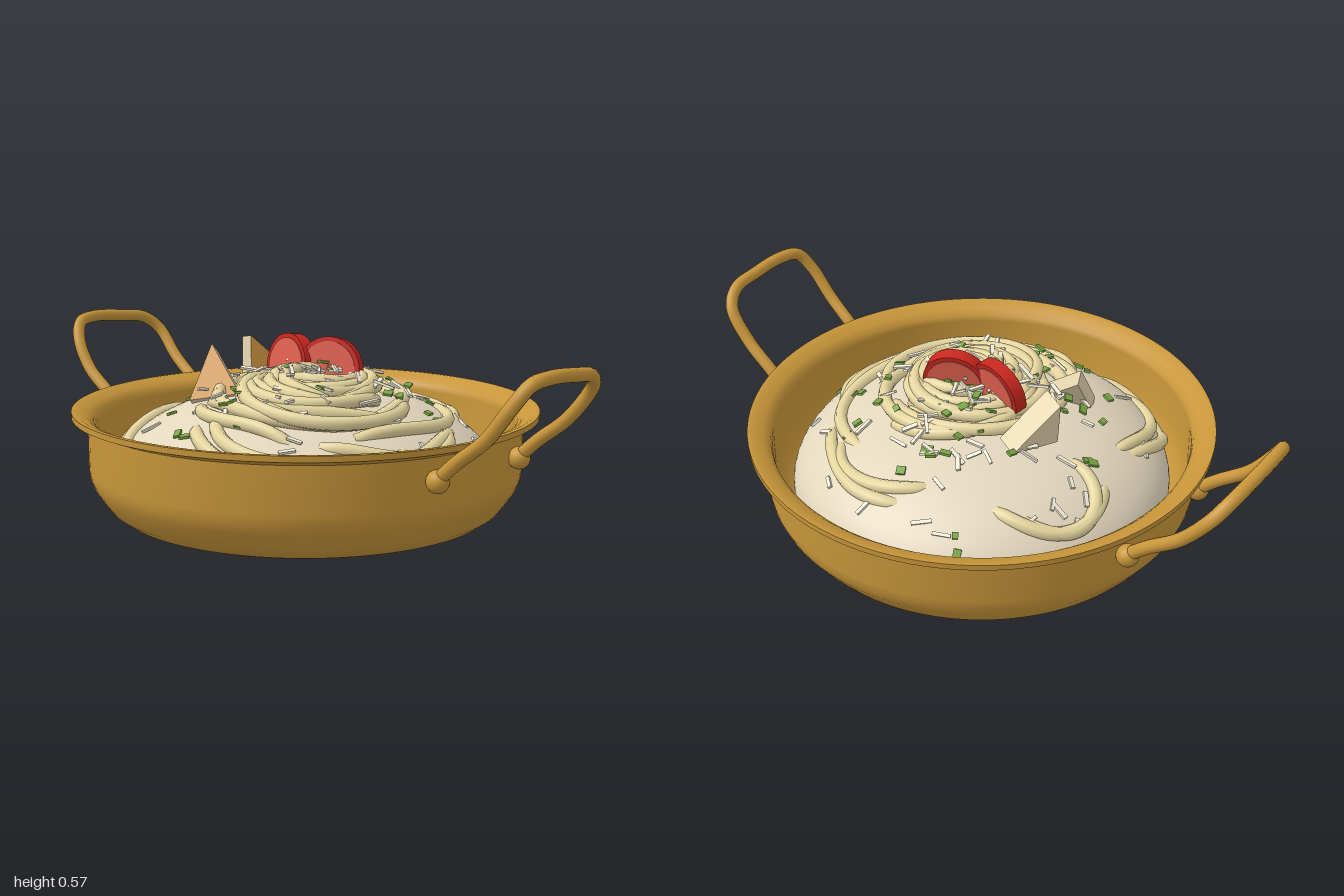
import * as THREE from 'three';

const V = (x, y, z) => new THREE.Vector3(x, y, z);
const mat = (color) => new THREE.MeshStandardMaterial({ color });
const brass = mat(0xc8963a), sauce = mat(0xe2d6bc), pasta = mat(0xe6d6a0), crumb = mat(0xe6d5b0),
  crust = mat(0xcf9440), skin = mat(0xc8261e), flesh = mat(0xe0604f), herb = mat(0x7ba646), cheese = mat(0xf3ecd9);

let seed = 7;
const rand = (a, b) => {
  seed = (seed * 16807) % 2147483647;
  return a + (b - a) * (seed / 2147483647);
};

const DOME_R = 0.62, DOME_Y = 0.12, DOME_H = 0.28;
const domeY = (x, z) => DOME_Y + DOME_H * Math.sqrt(Math.max(0, 1 - (x * x + z * z) / DOME_R ** 2));
const pileY = (x, z) => domeY(x, z) + 0.055 * Math.max(0, 1 - Math.hypot(x - 0.08, z - 0.04) / 0.42);

function add(parent, name, geometry, material) {
  const mesh = new THREE.Mesh(geometry, material);
  mesh.name = name;
  parent.add(mesh);
  return mesh;
}

function group(parent, name) {
  const g = new THREE.Group();
  g.name = name;
  parent.add(g);
  return g;
}

// Pan shell: outside, rim and inside in one lathe; doubled points keep the edges sharp
function addPan(root) {
  const p = [[0, 0], [0.575, 0], [0.575, 0], [0.61, 0.012], [0.64, 0.035], [0.66, 0.062], [0.685, 0.1], [0.696, 0.13],
    [0.7, 0.16], [0.7, 0.305], [0.7, 0.305], [0.75, 0.325], [0.75, 0.325], [0.75, 0.343], [0.75, 0.343],
    [0.735, 0.343], [0.7, 0.328], [0.68, 0.31], [0.675, 0.29], [0.675, 0.17], [0.655, 0.11], [0.62, 0.05], [0.56, 0.025], [0, 0.025]];
  add(root, 'pan', new THREE.LatheGeometry(p.map(([x, y]) => new THREE.Vector2(x, y)), 96), brass);
}

// Side handle: bent rod with a round rivet at each foot
function addHandle(root, side) {
  const g = group(root, side > 0 ? 'leftHandle' : 'rightHandle');
  const path = [[0.69, 0.24, 0.2], [0.76, 0.305, 0.2], [0.86, 0.385, 0.205], [0.93, 0.48, 0.195], [0.965, 0.54, 0.16],
    [0.975, 0.553, 0.09], [0.974, 0.545, -0.04], [0.967, 0.53, -0.14], [0.94, 0.485, -0.19], [0.86, 0.385, -0.2],
    [0.76, 0.305, -0.2], [0.69, 0.24, -0.2]].map(([x, y, z]) => V(x * side, y, z));
  add(g, 'handleRod', new THREE.TubeGeometry(new THREE.CatmullRomCurve3(path), 80, 0.021, 12), brass);
  for (const z of [0.2, -0.2])
    add(g, 'rivet', new THREE.SphereGeometry(0.035, 20, 14), brass).position.set(0.695 * side, 0.24, z);
}

// One noodle: an arc draped over the mound, its ends sinking into the sauce
function addNoodle(parent, cx, cz, r, start, sweep, lift) {
  const pts = [];
  for (let i = 0; i <= 14; i++) {
    const t = i / 14, a = THREE.MathUtils.degToRad(start + sweep * t);
    const rr = r * (1 + 0.06 * Math.sin(t * 5 + start));
    const x = cx + rr * Math.cos(a), z = cz + rr * Math.sin(a);
    const sink = 0.03 * Math.abs(2 * t - 1) ** 4;
    pts.push(V(x, pileY(x, z) + lift - sink, z));
  }
  add(parent, 'noodle', new THREE.TubeGeometry(new THREE.CatmullRomCurve3(pts), 40, 0.022, 8), pasta);
}

function addNoodles(root) {
  const g = group(root, 'noodles');
  // Loose outer strands: centre x, centre z, radius, start angle, sweep
  [[-0.4, -0.17, 0.13, 70, 210], [-0.3, -0.12, 0.22, 150, 120], [-0.18, 0.24, 0.3, 75, 120],
    [-0.2, 0.24, 0.25, 95, 110], [0.08, -0.28, 0.2, 210, 130], [0.1, -0.2, 0.29, 240, 100],
    [0.18, 0.2, 0.34, -20, 120], [0.2, 0.18, 0.28, 10, 130], [0.14, 0.05, 0.4, -40, 110],
    [0.1, 0.0, 0.36, -75, 110], [0.12, 0.3, 0.22, 20, 130], [0.05, 0.05, 0.3, 20, 120],
    [0.25, 0.05, 0.28, -50, 120], [0.1, 0.06, 0.34, 60, 80]].forEach((n) => addNoodle(g, ...n, 0.004));
  // Nest in the middle
  for (let i = 0; i < 22; i++) {
    const r = 0.08 + 0.2 * (i / 22);
    addNoodle(g, 0.09 + rand(-0.05, 0.05), 0.03 + rand(-0.05, 0.05), r, rand(0, 360), rand(130, 260), rand(0, 0.022));
  }
}

// Toast wedge: triangular prism below face a-b-c, with the browned face on top
function addToast(root, a, b, c, depth) {
  const g = group(root, 'toastWedge');
  const n = V(0, 0, 0).crossVectors(b.clone().sub(a), c.clone().sub(a)).normalize();
  const [d, e, f] = [a, b, c].map((p) => p.clone().addScaledVector(n, -depth));
  const faces = (list) => {
    const geo = new THREE.BufferGeometry().setFromPoints(list);
    geo.computeVertexNormals();
    return geo;
  };
  add(g, 'brownedFace', faces([a, b, c]), crust);
  add(g, 'crumb', faces([d, f, e, a, d, b, b, d, e, b, e, c, c, e, f, c, f, a, a, f, d]), crumb);
}

// Tomato slice: skin disc with a slightly raised flesh disc on both sides
function addTomato(root, x, y, z, yaw, lean) {
  const g = group(root, 'tomatoSlice');
  add(g, 'skin', new THREE.CylinderGeometry(0.105, 0.105, 0.044, 40), skin).rotation.x = Math.PI / 2;
  add(g, 'flesh', new THREE.CylinderGeometry(0.09, 0.09, 0.05, 40), flesh).rotation.x = Math.PI / 2;
  g.position.set(x, y, z);
  g.rotation.set(lean, yaw, 0, 'YXZ');
}

// Scattered flakes lying on the food
function addFlakes(root, name, count, size, material) {
  const g = group(root, name + 's');
  for (let i = 0; i < count; i++) {
    const r = i % 3 ? rand(0.04, 0.36) : rand(0.3, 0.58), a = rand(0, Math.PI * 2);
    const x = r * Math.cos(a) + (i % 3 ? 0.03 : 0), z = r * Math.sin(a);
    const m = add(g, name, new THREE.BoxGeometry(size[0] * rand(0.6, 1.2), size[1], size[2] * rand(0.8, 1.2)), material);
    m.position.set(x, pileY(x, z) + (r < 0.36 ? rand(0.015, 0.042) : 0.006), z);
    const tilt = r < 0.36 ? 0.4 : 0.15;
    // Follow the slope of the mound, then spin and tilt a little
    const up = V(x / DOME_R ** 2, (m.position.y - DOME_Y) / DOME_H ** 2, z / DOME_R ** 2).normalize();
    m.quaternion.setFromUnitVectors(V(0, 1, 0), up)
      .multiply(new THREE.Quaternion().setFromEuler(new THREE.Euler(rand(-tilt, tilt), rand(0, 6.28), rand(-tilt, tilt), 'YXZ')));
  }
}

export function createModel() {
  const root = new THREE.Group();
  root.name = 'pastaPan';
  addPan(root);
  addHandle(root, 1);
  addHandle(root, -1);

  // Mound of sauce
  const dome = add(root, 'sauceMound', new THREE.SphereGeometry(DOME_R, 72, 24, 0, Math.PI * 2, 0, Math.PI / 2), sauce);
  dome.scale.y = DOME_H / DOME_R;
  dome.position.y = DOME_Y;

  addNoodles(root);
  addToast(root, V(-0.26, 0.54, -0.01), V(-0.24, 0.39, 0.01), V(-0.18, 0.4, -0.14), 0.08);
  addToast(root, V(-0.27, 0.53, 0.16), V(-0.25, 0.36, 0.28), V(-0.1, 0.39, 0.2), 0.05);
  addTomato(root, -0.07, 0.46, -0.005, -0.18, -0.15);
  addTomato(root, 0.075, 0.46, -0.035, 0.4, -0.15);
  addFlakes(root, 'cheeseShred', 110, [0.06, 0.008, 0.012], cheese);
  addFlakes(root, 'herbFlake', 60, [0.03, 0.008, 0.024], herb);
  return root;
}
